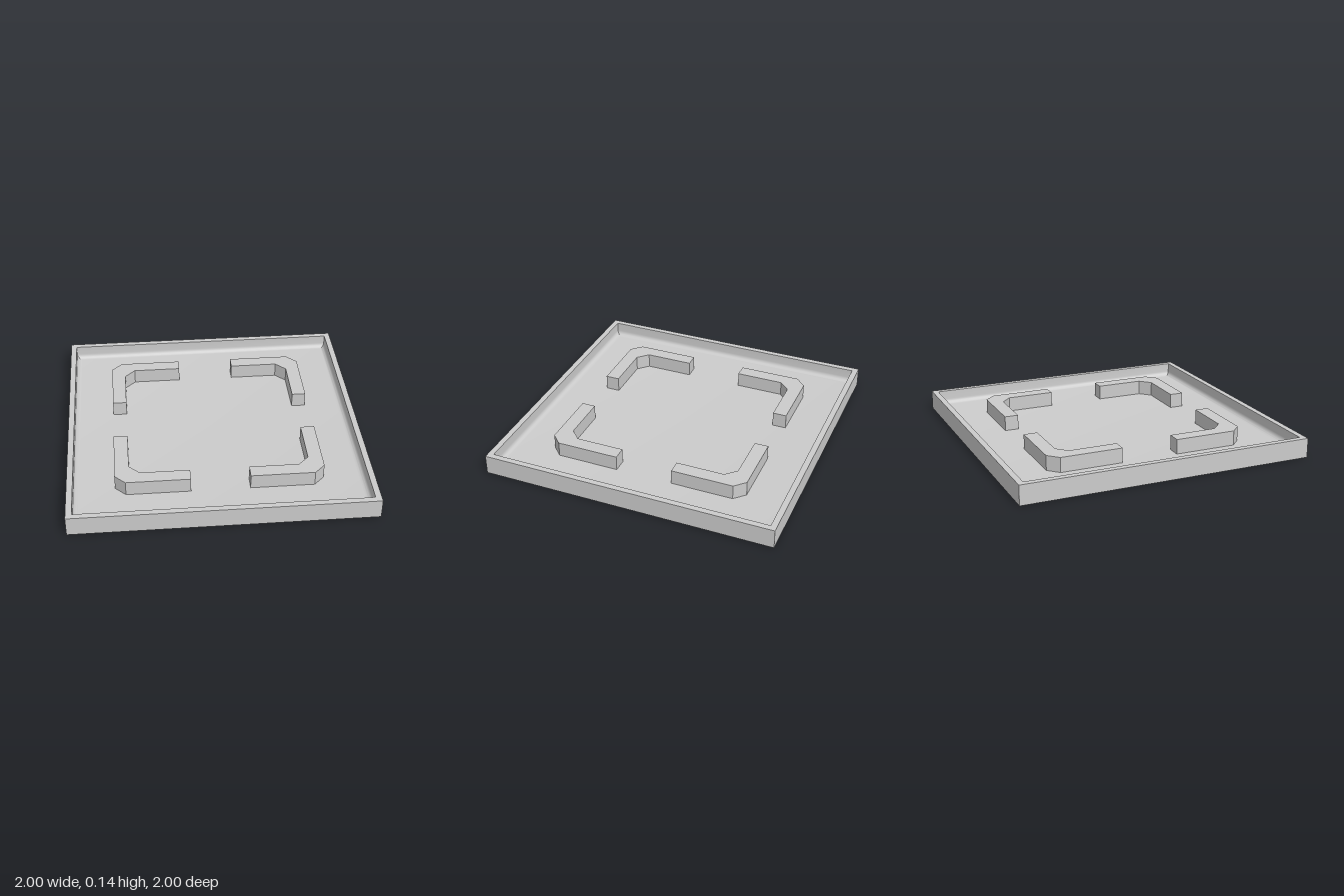
import * as THREE from 'three';
import { toCreasedNormals } from 'three/addons/utils/BufferGeometryUtils.js';

const WALL_TOP = 0.133, BLOCK_TOP = 0.138, FLOOR = 0.037;
const INNER = 0.96, FILLET = 0.035;

// Sweeps a [half width, y] profile around a square with mitred corners
function squareSweep(profile) {
  const pos = [];
  for (let side = 0; side < 4; side++) {
    const c = Math.round(Math.cos(side * Math.PI / 2));
    const s = Math.round(Math.sin(side * Math.PI / 2));
    const put = (x, y, z) => pos.push(x * c + z * s, y, z * c - x * s);
    for (let i = 0; i < profile.length - 1; i++) {
      const [r, y] = profile[i], [R, Y] = profile[i + 1];
      if (r > 0) { put(-r, y, r); put(r, y, r); put(R, Y, R); }
      if (R > 0) { put(-r, y, r); put(R, Y, R); put(-R, Y, R); }
    }
  }
  const geo = new THREE.BufferGeometry();
  geo.setAttribute('position', new THREE.Float32BufferAttribute(pos, 3));
  return toCreasedNormals(geo, 0.5);
}

export function createModel() {
  const group = new THREE.Group();
  const material = new THREE.MeshStandardMaterial({ color: 0xcccccc });

  // Tray: underside, outer wall, rim, inner wall, rounded foot and floor
  const profile = [[0, 0], [1, 0], [1, WALL_TOP], [INNER, WALL_TOP]];
  for (let i = 0; i <= 6; i++) {
    const a = i / 6 * Math.PI / 2;
    profile.push([
      INNER - FILLET + FILLET * Math.cos(a),
      FLOOR + FILLET - FILLET * Math.sin(a),
    ]);
  }
  profile.push([0, FLOOR]);
  const tray = new THREE.Mesh(squareSweep(profile), material);
  tray.name = 'tray';
  group.add(tray);

  // Four raised L-shaped corner blocks with chamfered bends
  const outline = [
    [0.195, 0.595], [0.525, 0.595], [0.595, 0.525], [0.595, 0.195],
    [0.69, 0.195], [0.69, 0.62], [0.62, 0.69], [0.195, 0.69],
  ].map(([x, y]) => new THREE.Vector2(x, y));
  const blockGeo = new THREE.ExtrudeGeometry(new THREE.Shape(outline), {
    depth: BLOCK_TOP - FLOOR, bevelEnabled: false,
  });
  blockGeo.rotateX(-Math.PI / 2).translate(0, FLOOR, 0);
  const names = ['backLeft', 'backRight', 'frontRight', 'frontLeft'];
  names.forEach((name, i) => {
    const block = new THREE.Mesh(blockGeo, material);
    block.name = name + 'CornerBlock';
    block.rotation.y = i * Math.PI / 2;
    group.add(block);
  });

  return group;
}
